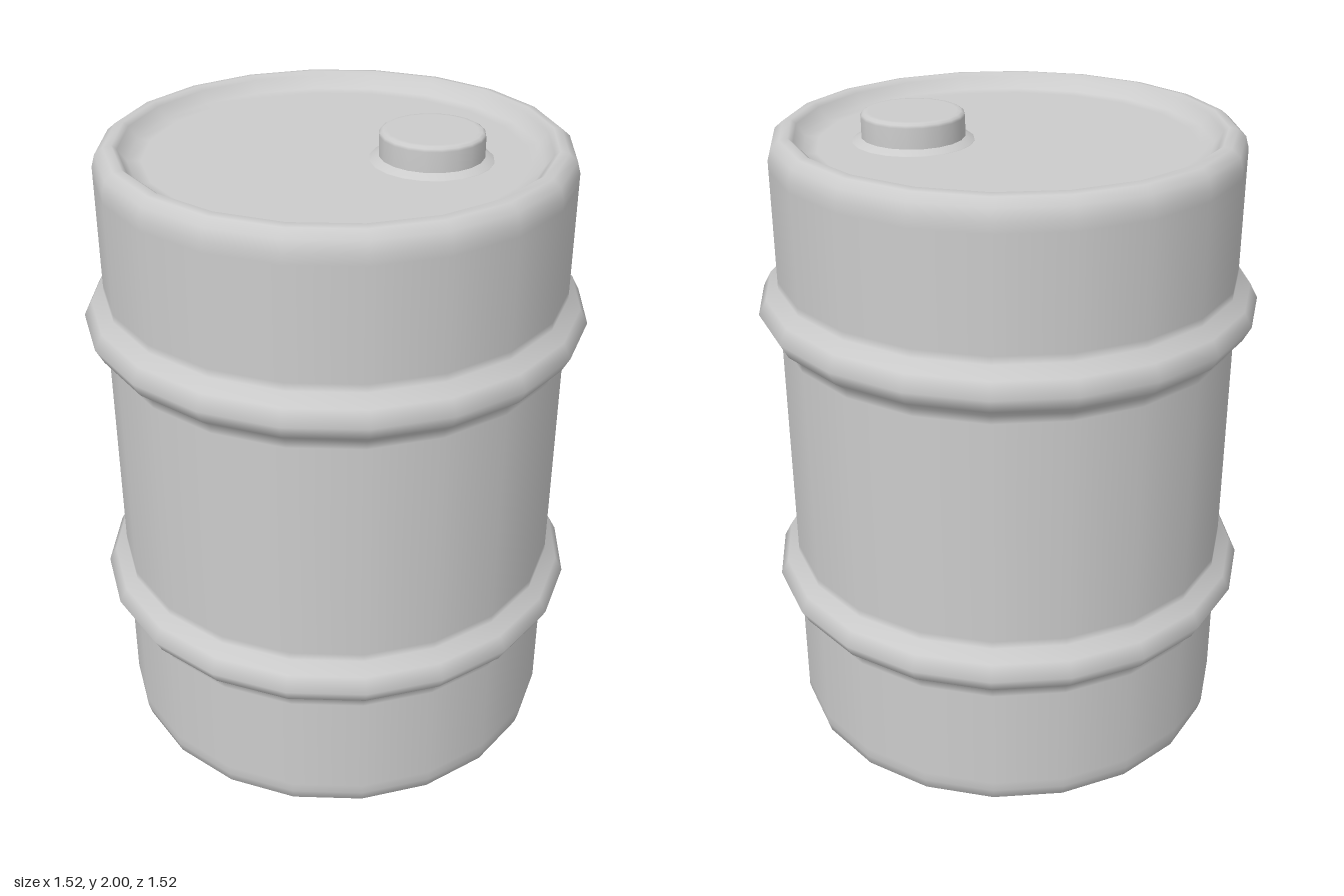
import * as THREE from 'three';

const HEIGHT = 1.963;

function lathe(name, points, segments, material) {
  const profile = points.map(([r, y]) => new THREE.Vector2(r, y));
  const mesh = new THREE.Mesh(new THREE.LatheGeometry(profile, segments), material);
  mesh.name = name;
  return mesh;
}

export function createModel() {
  const material = new THREE.MeshStandardMaterial({ color: 0xcccccc });
  const barrel = new THREE.Group();
  barrel.name = 'barrel';

  // Lower half of the drum: recessed end, rounded rim, wall and rolling hoop
  const hoopY = 0.525;
  const lower = [
    [0, 0.05], [0.56, 0.05], [0.6, 0.047], [0.625, 0.012], [0.64, 0], [0.665, 0.004],
    [0.69, 0.025], [0.7, 0.06], [0.7, 0.09],
    ...[[0.7, -0.1], [0.7, -0.075], [0.738, -0.045], [0.762, 0],
      [0.738, 0.045], [0.7, 0.075], [0.7, 0.1]].map(([r, y]) => [r, hoopY + y]),
  ];
  // The upper half mirrors the lower
  const upper = lower.map(([r, y]) => [r, HEIGHT - y]).reverse();
  barrel.add(lathe('drumBody', [...lower, ...upper], 20, material));

  // Filler cap with its sloping collar, set off-centre on the lid
  const filler = new THREE.Group();
  filler.name = 'filler';
  filler.position.set(0.23, 0, 0.155);
  filler.add(lathe('fillerCollar', [[0.182, 1.905], [0.18, 1.915], [0.145, 1.93]], 20, material));
  filler.add(lathe('fillerCap', [
    [0.153, 1.91], [0.153, 1.986], [0.15, 1.994], [0.142, 1.999], [0.13, 2], [0, 2],
  ], 20, material));
  barrel.add(filler);

  return barrel;
}
